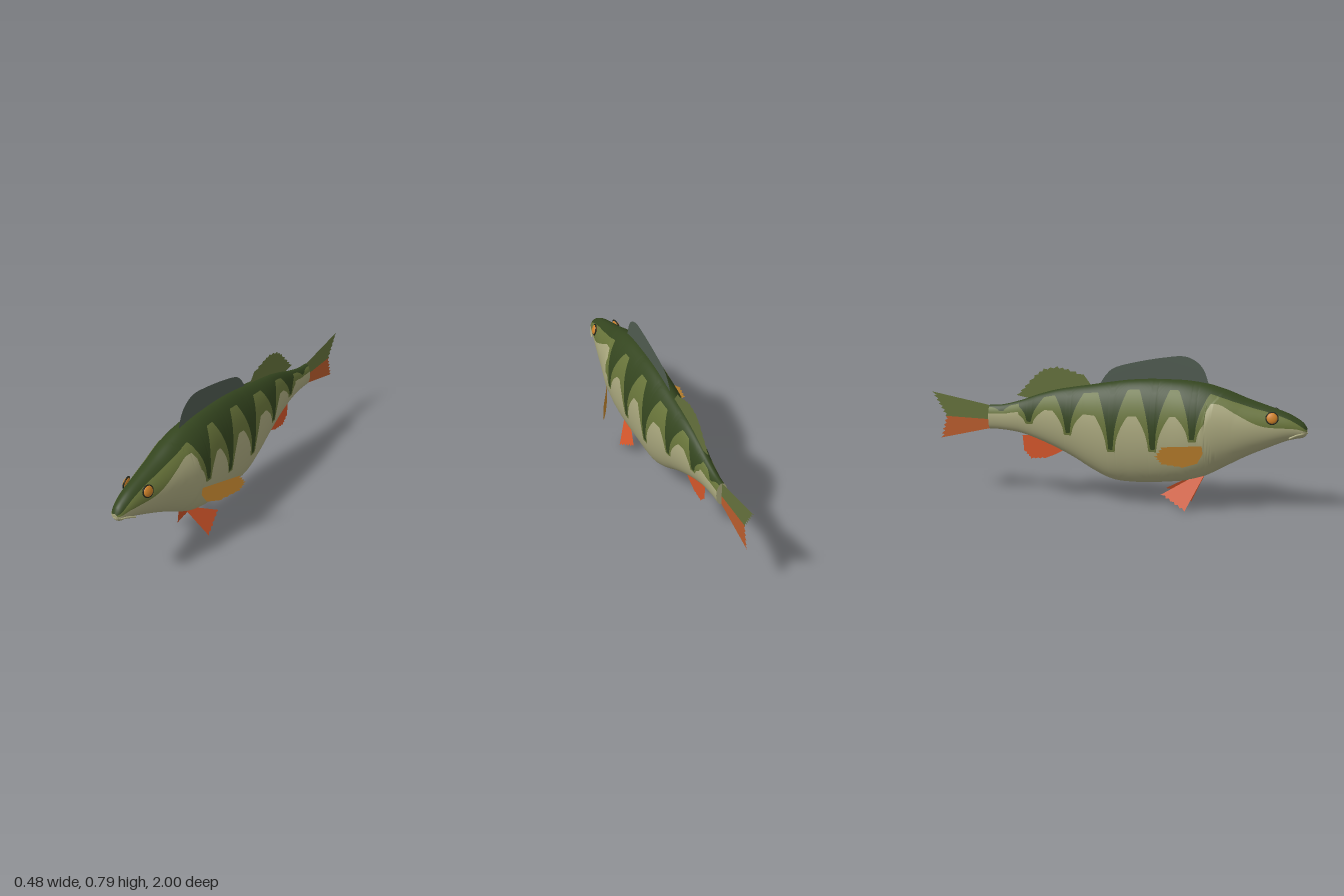
import * as THREE from 'three';

const mat = (name, color, side = THREE.FrontSide) => {
  const m = new THREE.MeshStandardMaterial({ color, side });
  m.name = name;
  return m;
};

// z, top, bottom, half width
const STATIONS = [
  [1, 0.45, 0.422, 0.016], [0.985, 0.475, 0.405, 0.03], [0.95, 0.5, 0.397, 0.043], [0.9, 0.525, 0.383, 0.056],
  [0.8, 0.558, 0.34, 0.077], [0.7, 0.59, 0.293, 0.098], [0.6, 0.627, 0.238, 0.116], [0.5, 0.655, 0.183, 0.131],
  [0.4, 0.668, 0.15, 0.134], [0.3, 0.67, 0.135, 0.128], [0.2, 0.668, 0.126, 0.122], [0.1, 0.66, 0.122, 0.117],
  [0, 0.645, 0.132, 0.112], [-0.1, 0.627, 0.175, 0.101], [-0.2, 0.61, 0.232, 0.087], [-0.3, 0.59, 0.28, 0.07],
  [-0.4, 0.56, 0.32, 0.053], [-0.5, 0.523, 0.35, 0.04], [-0.6, 0.496, 0.362, 0.031], [-0.67, 0.49, 0.363, 0.029],
];
// dark bars: z, lowest y
const BARS = [[0.44, 0.39], [0.235, 0.325], [0.015, 0.31], [-0.22, 0.38], [-0.44, 0.42], [-0.6, 0.465]];
// head colour edges: z, dark edge, olive edge
const HEAD = [[1, 0.444, 0.437], [0.95, 0.478, 0.452], [0.9, 0.503, 0.456], [0.8, 0.535, 0.462],
  [0.74, 0.55, 0.48], [0.65, 0.577, 0.525], [0.56, 0.605, 0.57], [0.47, 0.63, 0.56]];

const clamp = THREE.MathUtils.clamp;

// smooth interpolation in a table sorted by falling z
function sample(table, z, col) {
  let i = 0;
  while (i < table.length - 2 && z < table[i + 1][0]) i++;
  const slope = (a, b) => (b[col] - a[col]) / (b[0] - a[0]);
  const p = table[i], q = table[i + 1];
  const m0 = slope(table[Math.max(i - 1, 0)], q), m1 = slope(p, table[Math.min(i + 2, table.length - 1)]);
  const h = q[0] - p[0], t = clamp((z - p[0]) / h, 0, 1);
  return p[col] * (1 + 2 * t) * (1 - t) ** 2 + q[col] * t * t * (3 - 2 * t)
    + h * (m0 * t * (1 - t) ** 2 + m1 * t * t * (t - 1));
}

// heights of the lower edges of the dark back and the olive flank
function colourEdges(z, mid, half) {
  let dark = mid + half * 0.84, olive = mid + half * 0.36;
  if (z > 0.5) {
    dark = sample(HEAD, z, 1);
    olive = sample(HEAD, z, 2);
  }
  const darkBase = dark, oliveBase = olive;
  for (const [zc, low] of BARS) {
    const d = Math.abs(z - zc);
    const wide = z < -0.5 ? 0.035 : 0.065;
    const td = clamp((d - 0.014) / wide, 0, 1), to = clamp((d - 0.022) / wide, 0, 1);
    dark = Math.min(dark, low + (darkBase - low) * Math.sqrt(td));
    olive = Math.min(olive, low - 0.012 + (oliveBase - low + 0.012) * Math.sqrt(to));
  }
  return [dark, olive];
}

// body point at angle a from the top of the section
function bodyPoint(z, a, mid, half, w) {
  const c = Math.cos(a), y = mid + half * c;
  let x = w * Math.abs(Math.sin(a)) * (1 - 0.12 * Math.max(0, c) ** 3);
  // raised gill cover
  const edge = 0.48 + ((y - 0.43) / 0.2) ** 2 * 0.11, g = z - edge;
  if (g > 0 && g < 0.15) x += 0.006 * (1 - g / 0.15) * Math.abs(Math.sin(a));
  return [x * Math.sign(Math.PI - a), y, z];
}

function makeBody(materials) {
  const N = 300, bands = [8, 6, 12], rows = 26, ring = rows * 2;
  const pos = [], lists = [[], [], []];
  for (let i = 0; i <= N; i++) {
    const z = 1 - 1.67 * (i / N);
    const top = sample(STATIONS, z, 1), bottom = sample(STATIONS, z, 2), w = sample(STATIONS, z, 3);
    const mid = (top + bottom) / 2, half = (top - bottom) / 2;
    const [dark, olive] = colourEdges(z, mid, half);
    const vd = clamp((dark - mid) / half, -0.9, 0.97), vo = clamp((olive - mid) / half, -0.95, vd - 0.02);
    const stops = [0, Math.acos(vd), Math.acos(vo), Math.PI], angles = [0];
    bands.forEach((n, b) => {
      for (let k = 1; k <= n; k++) angles.push(stops[b] + (stops[b + 1] - stops[b]) * k / n);
    });
    for (let j = 0; j < ring; j++) {
      pos.push(...bodyPoint(z, j <= rows ? angles[j] : 2 * Math.PI - angles[ring - j], mid, half, w));
    }
  }
  for (let i = 0; i < N; i++) for (let j = 0; j < ring; j++) {
    const r = j < rows ? j : ring - 1 - j, band = r < 8 ? 0 : r < 14 ? 1 : 2;
    const a = i * ring + j, b = i * ring + (j + 1) % ring;
    lists[band].push(a, b, a + ring, b, b + ring, a + ring);
  }
  // closed nose and tail stub
  for (let j = 1; j < ring - 1; j++) {
    lists[2].push(0, j + 1, j);
  }
  const geo = new THREE.BufferGeometry();
  geo.setAttribute('position', new THREE.Float32BufferAttribute(pos, 3));
  geo.setIndex(lists.flat());
  let start = 0;
  lists.forEach((l, b) => { geo.addGroup(start, l.length, b); start += l.length; });
  geo.computeVertexNormals();
  return new THREE.Mesh(geo, materials);
}

// flat fin from [z, y] points; segments first..last get teeth; xRule bends it sideways
function makeFin(name, material, pts, first, last, teeth, xRule = () => 0) {
  const cz = pts.reduce((s, p) => s + p[0], 0) / pts.length, cy = pts.reduce((s, p) => s + p[1], 0) / pts.length;
  const out = [];
  pts.forEach((p, i) => {
    out.push(new THREE.Vector2(...p));
    if (i < first || i >= last) return;
    const q = pts[i + 1];
    for (let k = 1; k < teeth * 2; k++) {
      const t = k / (teeth * 2), pull = k % 2 ? 0.11 : 0;
      const z = p[0] + (q[0] - p[0]) * t, y = p[1] + (q[1] - p[1]) * t;
      out.push(new THREE.Vector2(z + (cz - z) * pull, y + (cy - y) * pull));
    }
  });
  const geo = new THREE.ShapeGeometry(new THREE.Shape(out));
  const P = geo.attributes.position;
  for (let i = 0; i < P.count; i++) {
    const z = P.getX(i), y = P.getY(i);
    P.setXYZ(i, xRule(z, y), y, z);
  }
  geo.computeVertexNormals();
  const mesh = new THREE.Mesh(geo, material);
  mesh.name = name;
  return mesh;
}

export function createModel() {
  const fish = new THREE.Group();
  fish.name = 'fish';
  const D = THREE.DoubleSide;
  const dark = mat('darkGreen', 0x34451f), olive = mat('oliveGreen', 0x68743a), belly = mat('paleBelly', 0xaaa87e);
  const grey = mat('greyFin', 0x4f5b50, D), green = mat('greenFin', 0x65713c, D), rust = mat('rustFin', 0xb95c2d, D);
  const red = mat('redFin', 0xd4562a, D), amber = mat('amberFin', 0xc4862f, D);
  const eyeColour = mat('eyeOrange', 0xd0822a), black = mat('eyeRim', 0x23261a);

  const body = makeBody([dark, olive, belly]);
  body.name = 'body';
  fish.add(body);

  // rear face of the tail stub
  const stub = new THREE.Mesh(new THREE.CircleGeometry(1, 40), belly);
  stub.name = 'tailStub';
  stub.scale.set(0.029, 0.0635, 1);
  stub.rotation.y = Math.PI;
  stub.position.set(0, 0.4265, -0.67);
  fish.add(stub);

  // fins on the centre line
  const spiny = new THREE.SplineCurve([[0.5, 0.65], [0.475, 0.72], [0.435, 0.765], [0.37, 0.79], [0.27, 0.78],
    [0.14, 0.755], [0.02, 0.722], [-0.03, 0.685], [-0.07, 0.625]].map(p => new THREE.Vector2(...p)));
  const spinyPts = spiny.getPoints(40).map(p => [p.x, p.y]);
  fish.add(makeFin('spinyDorsalFin', grey, [...spinyPts, [0.1, 0.62], [0.4, 0.63]], 0, 0, 0));
  fish.add(makeFin('softDorsalFin', green, [[-0.11, 0.615], [-0.155, 0.675], [-0.235, 0.7], [-0.295, 0.712],
    [-0.37, 0.697], [-0.42, 0.66], [-0.475, 0.6], [-0.52, 0.55], [-0.44, 0.535], [-0.25, 0.58]], 1, 7, 2));
  fish.add(makeFin('tailFinUpper', green, [[-0.665, 0.488], [-0.995, 0.548], [-0.92, 0.418], [-0.665, 0.412]], 1, 2, 6));
  fish.add(makeFin('tailFinLower', rust, [[-0.665, 0.412], [-0.92, 0.418], [-0.95, 0.297], [-0.665, 0.365]], 1, 2, 5));
  fish.add(makeFin('analFin', red, [[-0.25, 0.275], [-0.31, 0.242], [-0.37, 0.217], [-0.445, 0.21], [-0.482, 0.25],
    [-0.49, 0.335], [-0.4, 0.34]], 2, 4, 3));

  for (const s of [1, -1]) {
    const side = s > 0 ? 'left' : 'right';
    // paired fins
    fish.add(makeFin(side + 'PectoralFin', amber, [[0.49, 0.36], [0.3, 0.366], [0.27, 0.32], [0.3, 0.278],
      [0.4, 0.255], [0.47, 0.272], [0.495, 0.32]], 1, 4, 3, z => s * (0.13 + (0.49 - z) * 0.5)));
    fish.add(makeFin(side + 'PelvicFin', red, [[0.485, 0.18], [0.4, 0.005], [0.27, 0.078], [0.41, 0.16]],
      1, 2, 5, (z, y) => s * (0.025 + (0.175 - y) * 0.44)));

    // eye with rim
    const eye = new THREE.Group();
    eye.name = side + 'Eye';
    const ball = new THREE.Mesh(new THREE.SphereGeometry(0.028, 24, 16), eyeColour);
    ball.name = 'eyeball';
    ball.scale.x = 0.45;
    const rim = new THREE.Mesh(new THREE.TorusGeometry(0.029, 0.004, 8, 28), black);
    rim.name = 'eyeRim';
    rim.rotation.y = Math.PI / 2;
    eye.add(ball, rim);
    eye.position.set(s * 0.065, 0.507, 0.83);
    eye.rotation.y = -s * 0.2;
    eye.rotation.z = s * 0.25;
    fish.add(eye);

    // mouth line
    const path = new THREE.CatmullRomCurve3([[0, 0.428, 1], [0.028, 0.427, 0.982], [0.042, 0.42, 0.95],
      [0.052, 0.405, 0.915]].map(([x, y, z]) => new THREE.Vector3(s * x, y, z)));
    const lip = new THREE.Mesh(new THREE.TubeGeometry(path, 20, 0.005, 8), belly);
    lip.name = side + 'Lip';
    fish.add(lip);
  }
  return fish;
}
